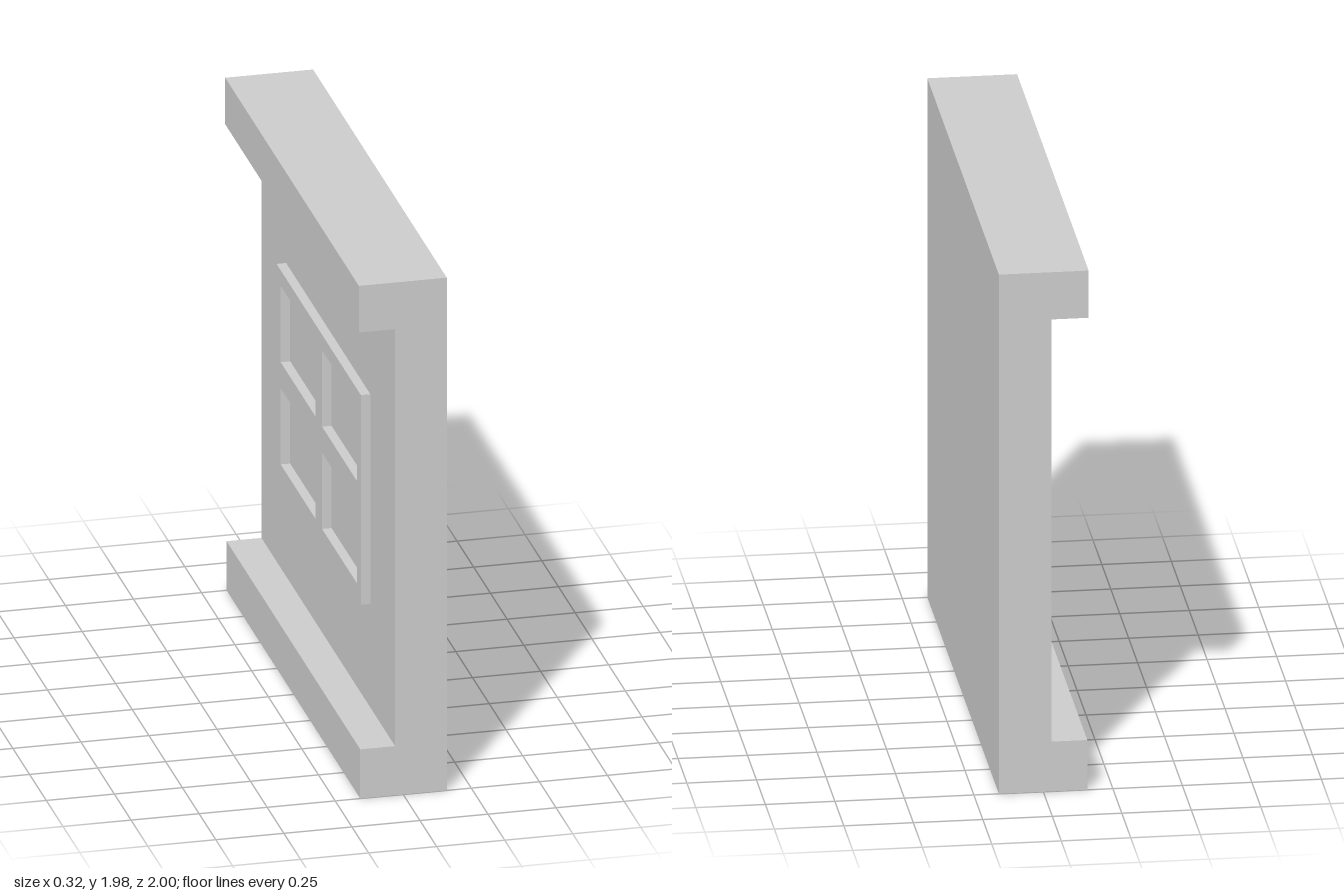
import * as THREE from 'three';

const material = new THREE.MeshStandardMaterial({ color: 0xcccccc, flatShading: true });

function rectPath(PathType, x0, y0, x1, y1) {
  return new PathType([[x0, y0], [x1, y0], [x1, y1], [x0, y1]].map(([x, y]) => new THREE.Vector2(x, y)));
}

function extruded(name, shape, depth) {
  const mesh = new THREE.Mesh(new THREE.ExtrudeGeometry(shape, { depth, bevelEnabled: false }), material);
  mesh.name = name;
  return mesh;
}

export function createModel() {
  const model = new THREE.Group();
  model.name = 'wallPanel';

  // Wall with overhanging cornice and base ledge, one profile swept along z
  const profile = [
    [0.16, 0], [0.16, 1.98], [-0.163, 1.98], [-0.163, 1.8],
    [-0.03, 1.8], [-0.03, 0.19], [-0.158, 0.19], [-0.158, 0],
  ].map(([x, y]) => new THREE.Vector2(x, y));
  const wall = extruded('wall', new THREE.Shape(profile), 2);
  wall.position.z = -1;
  model.add(wall);

  // Window frame with crossbars: four pane openings in a raised rectangle
  const halfW = 0.63, halfH = 0.405, border = 0.06, halfBar = 0.05;
  const frameShape = rectPath(THREE.Shape, -halfW, -halfH, halfW, halfH);
  for (const sx of [-1, 1]) {
    for (const sy of [-1, 1]) {
      frameShape.holes.push(rectPath(THREE.Path,
        sx * halfBar, sy * halfBar, sx * (halfW - border), sy * (halfH - border)));
    }
  }
  const frame = extruded('windowFrame', frameShape, 0.035);
  frame.rotation.y = -Math.PI / 2;
  frame.position.set(-0.03, 0.995, 0);
  model.add(frame);

  return model;
}
